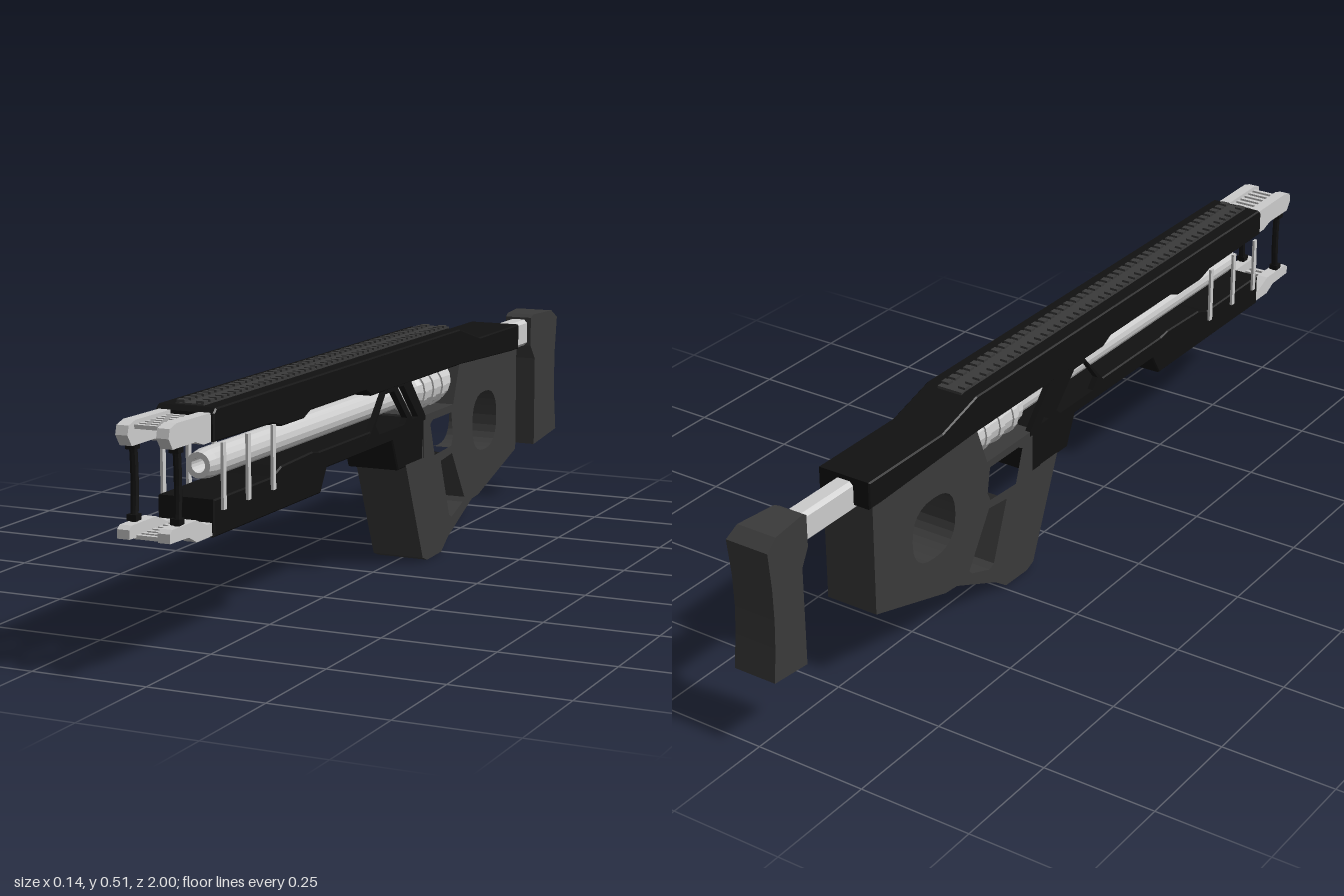
import * as THREE from 'three';

const mat = (color) => new THREE.MeshStandardMaterial({ color, flatShading: true });

export function createModel() {
  const group = new THREE.Group();
  const black = mat(0x111111), dark = mat(0x3a3a3a), grey = mat(0xcccccc);

  const add = (name, geometry, material, x = 0, y = 0, z = 0) => {
    const mesh = new THREE.Mesh(geometry, material);
    mesh.name = name;
    mesh.position.set(x, y, z);
    group.add(mesh);
    return mesh;
  };
  const box = (name, material, w, h, d, x, y, z) =>
    add(name, new THREE.BoxGeometry(w, h, d), material, x, y, z);

  // Side profile given as [z, y] points, extruded across x and centred
  const path = (pts) => pts.map(([z, y]) => new THREE.Vector2(z, y));
  const slab = (pts, width, holes = [], bevel = 0) => {
    const shape = new THREE.Shape(path(pts));
    holes.forEach((h) => shape.holes.push(new THREE.Path(path(h))));
    const geo = new THREE.ExtrudeGeometry(shape, {
      depth: width - 2 * bevel, bevelEnabled: bevel > 0, bevelSize: bevel,
      bevelThickness: bevel, bevelOffset: -bevel, bevelSegments: 1,
    });
    geo.translate(0, 0, -width / 2 + bevel);
    geo.rotateY(-Math.PI / 2);
    return geo;
  };

  // Lathe about the z axis, from [radius, z] points
  const turned = (pts, sides) => {
    const geo = new THREE.LatheGeometry(pts.map(([r, z]) => new THREE.Vector2(r, z)), sides);
    geo.rotateX(Math.PI / 2);
    return geo;
  };

  // Long upper housing
  add('upperHousing', slab([
    [0.84, 0.44], [0.84, 0.495], [0.83, 0.504], [-0.34, 0.504], [-0.46, 0.47], [-0.705, 0.47],
    [-0.705, 0.41], [-0.66, 0.41], [-0.34, 0.422], [0.14, 0.422], [0.17, 0.437], [0.43, 0.437],
    [0.46, 0.425], [0.56, 0.425], [0.6, 0.437],
  ], 0.126, [], 0.003), black);

  // Ridged top rail in two rows
  box('railBase', dark, 0.06, 0.006, 1.17, 0, 0.504, 0.235);
  for (let i = 0; i < 46; i++) {
    const z = 0.81 - i * 0.0253;
    for (const s of [-1, 1]) box('railTooth', dark, 0.018, 0.008, 0.015, s * 0.021, 0.508, z);
  }

  // Lower handguard running back to the magazine block
  add('lowerHandguard', slab([
    [0.84, 0.257], [0.385, 0.257], [0.355, 0.305], [0.03, 0.305], [0, 0.235], [-0.14, 0.235],
    [-0.14, 0.33], [0.1, 0.33], [0.14, 0.345], [0.39, 0.345], [0.42, 0.35], [0.56, 0.345],
    [0.6, 0.33], [0.84, 0.33],
  ], 0.122, [], 0.003), black);

  // Slanted side struts joining both housings
  for (const s of [-1, 1]) {
    add('sideStruts', slab([
      [0.17, 0.325], [-0.145, 0.325], [-0.145, 0.335], [-0.06, 0.43], [0.06, 0.43], [0.14, 0.345],
    ], 0.014, [
      [[0.12, 0.355], [0.07, 0.415], [0.025, 0.415], [-0.045, 0.345], [-0.03, 0.332], [0.1, 0.332]],
      [[0.005, 0.42], [-0.025, 0.42], [-0.105, 0.338], [-0.075, 0.338]],
    ]), black, s * 0.055);
  }

  // Barrel and breech
  add('barrel', turned([
    [0, -0.2], [0.03, -0.2], [0.03, 0.765], [0.026, 0.79], [0.015, 0.79], [0.015, 0.74], [0, 0.74],
  ], 16), grey, 0, 0.382, 0);
  add('breech', turned([
    [0, -0.34], [0.046, -0.34], [0.046, -0.165], [0.04, -0.155], [0.04, -0.14], [0.03, -0.13],
    [0, -0.13],
  ], 16), grey, 0, 0.382, 0);
  for (const z of [-0.18, -0.23, -0.28])
    add('breechRing', turned([[0.044, -0.008], [0.05, -0.008], [0.05, 0.008], [0.044, 0.008]], 16),
      grey, 0, 0.382, z);

  // Body with hand grip, finger openings and round thumb hole
  const thumbHole = [];
  for (let i = 0; i < 24; i++) {
    const a = (i / 24) * Math.PI * 2, c = Math.cos(a), s = Math.sin(a);
    thumbHole.push([-0.495 + 0.074 * Math.sign(c) * Math.abs(c) ** 0.8,
      0.268 + 0.07 * Math.sign(s) * Math.abs(s) ** 0.8]);
  }
  add('gripBody', slab([
    [-0.04, 0.24], [-0.135, 0.01], [-0.16, 0], [-0.24, 0.002], [-0.28, 0.03], [-0.42, 0.092],
    [-0.46, 0.095], [-0.695, 0.165], [-0.695, 0.42], [-0.34, 0.425], [-0.305, 0.335],
    [-0.13, 0.335], [-0.13, 0.24],
  ], 0.122, [
    thumbHole,
    [[-0.175, 0.31], [-0.2, 0.235], [-0.295, 0.24], [-0.305, 0.26], [-0.295, 0.318], [-0.19, 0.318]],
    [[-0.235, 0.215], [-0.3, 0.222], [-0.375, 0.105], [-0.365, 0.095], [-0.3, 0.072], [-0.285, 0.08]],
  ]), dark);
  add('trigger', slab([
    [-0.25, 0.325], [-0.26, 0.25], [-0.272, 0.25], [-0.285, 0.29], [-0.295, 0.325],
  ], 0.025), grey);

  // Front prongs, cross rungs and tie rods
  for (const s of [-1, 1]) {
    add('upperProng', slab([
      [0.8, 0.45], [0.8, 0.495], [0.97, 0.497], [0.995, 0.49], [1, 0.472], [0.985, 0.45],
      [0.9, 0.45], [0.87, 0.44], [0.8, 0.44],
    ], 0.026), grey, s * 0.043);
    add('lowerProng', slab([
      [0.8, 0.26], [0.8, 0.285], [0.86, 0.285], [0.9, 0.302], [0.99, 0.302], [1, 0.295],
      [1, 0.277], [0.93, 0.275], [0.9, 0.26],
    ], 0.026), grey, s * 0.043);
    const curve = new THREE.QuadraticBezierCurve3(
      new THREE.Vector3(0, 0.295, 0.955), new THREE.Vector3(0, 0.38, 0.945),
      new THREE.Vector3(0, 0.46, 0.955));
    add('tieRod', new THREE.TubeGeometry(curve, 6, 0.008, 8), black, s * 0.046);
    for (const y of [0.31, 0.445]) box('rodCollar', black, 0.02, 0.012, 0.02, s * 0.046, y, 0.955);
    // Thin side bars with end bolts
    for (const z of [0.81, 0.71, 0.605]) {
      box('sideBar', grey, 0.006, 0.13, 0.012, s * 0.0655, 0.371, z);
    }
  }
  for (let i = 0; i < 7; i++) {
    box('upperRung', grey, 0.07, 0.008, 0.01, 0, 0.485, 0.85 + i * 0.02);
    box('lowerRung', grey, 0.07, 0.008, 0.01, 0, 0.277, 0.85 + i * 0.02);
  }

  // Stock tube and flared butt
  add('stockTube', slab([
    [-0.65, 0.395], [-0.65, 0.46], [-0.9, 0.46], [-0.9, 0.395],
  ], 0.046, [], 0.008), grey);
  const butt = slab([
    [-0.862, 0.395], [-0.862, 0.465], [-0.875, 0.472], [-0.97, 0.472], [-1, 0.452], [-0.991, 0.37],
    [-0.989, 0.3], [-0.992, 0.24], [-1, 0.165], [-0.885, 0.142], [-0.885, 0.36],
  ], 1);
  const p = butt.attributes.position;
  for (let i = 0; i < p.count; i++) {
    const t = (-0.862 - p.getZ(i)) / 0.138;
    p.setX(i, p.getX(i) * (0.066 + 0.034 * t));
  }
  butt.computeVertexNormals();
  add('buttStock', butt, dark);

  return group;
}
